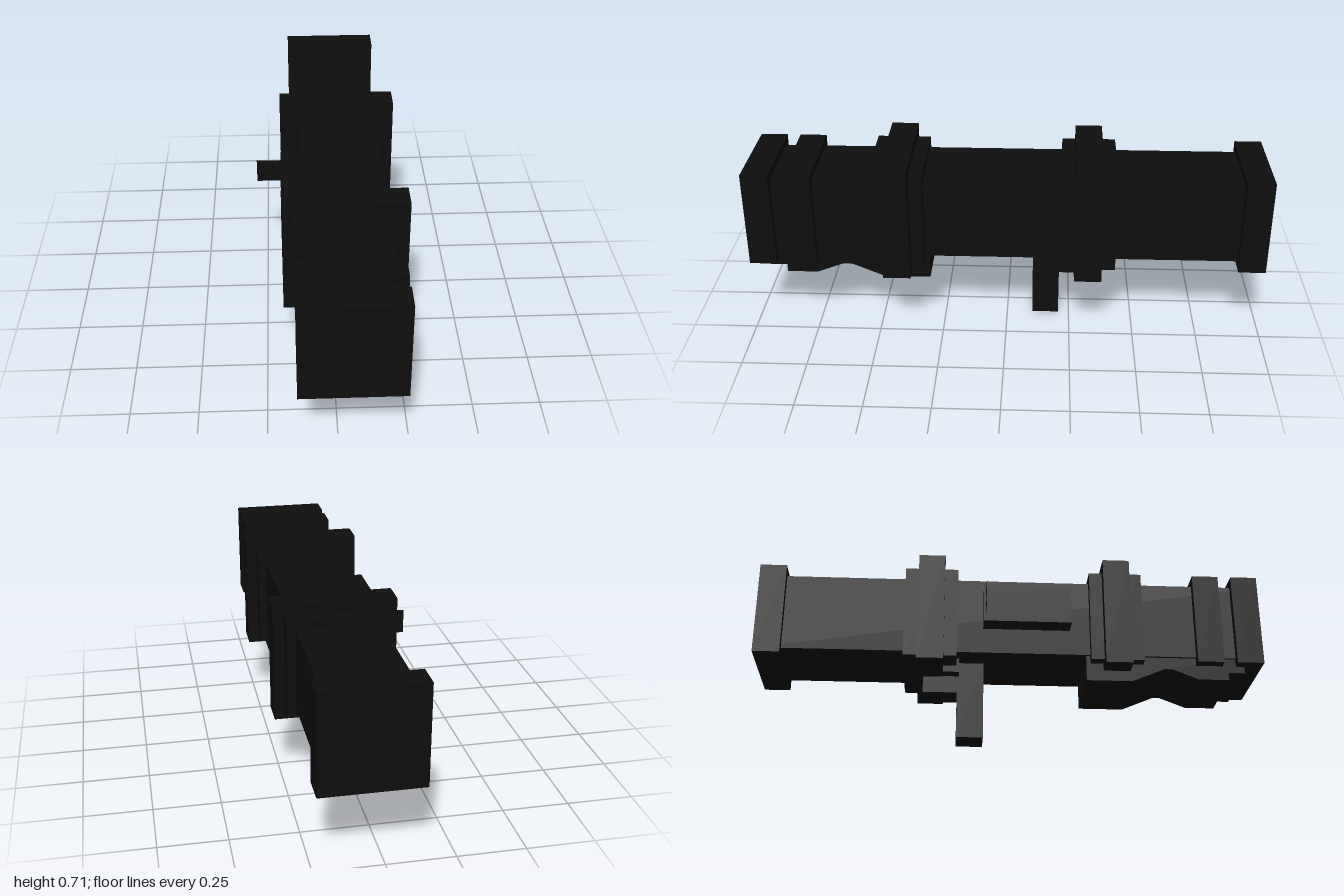
import * as THREE from 'three';

export function createModel() {
  const group = new THREE.Group();
  const black = new THREE.MeshStandardMaterial({ color: 0x0e0e0e, side: THREE.DoubleSide });
  black.name = 'matte black';

  // Box given by its limits on each axis
  function block(name, [x0, x1], [y0, y1], [z0, z1]) {
    const mesh = new THREE.Mesh(new THREE.BoxGeometry(x1 - x0, y1 - y0, z1 - z0), black);
    mesh.name = name;
    mesh.position.set((x0 + x1) / 2, (y0 + y1) / 2, (z0 + z1) / 2);
    group.add(mesh);
  }
  // Square section around the tube axis
  const cx = 0.046;
  function section(name, halfX, y, z) {
    block(name, [cx - halfX, cx + halfX], y, z);
  }

  // Main square tube and its raised bands
  section('tube', 0.157, [0.316, 0.634], [-0.99, 0.99]);
  const bandY = [0.285, 0.666];
  section('frontCap', 0.189, bandY, [0.895, 1]);
  section('rearCap', 0.189, bandY, [-1, -0.895]);
  section('frontBand', 0.189, bandY, [0.737, 0.842]);
  section('frontCollar', 0.189, bandY, [0.316, 0.526]);
  section('rearCollar', 0.189, bandY, [-0.421, -0.211]);
  section('frontRing', 0.23, [0.255, 0.706], [0.368, 0.474]);
  section('rearRing', 0.23, [0.255, 0.706], [-0.368, -0.263]);

  // Fore grip under the front, profile in (z, y) extruded across x
  const profile = [
    [0.93, 0.33], [0.93, 0.257], [0.865, 0.257], [0.865, 0.226], [0.745, 0.226],
    [0.64, 0.267], [0.61, 0.267], [0.48, 0.212], [0.3, 0.212], [0.3, 0.33],
  ];
  const shape = new THREE.Shape(profile.map(([z, y]) => new THREE.Vector2(-z, y)));
  const gripGeometry = new THREE.ExtrudeGeometry(shape, { depth: 0.293, bevelEnabled: false });
  gripGeometry.rotateY(Math.PI / 2);
  const grip = new THREE.Mesh(gripGeometry, black);
  grip.name = 'foreGrip';
  grip.position.x = -0.101;
  group.add(grip);

  // Handle and its mount under the rear ring
  block('handle', [-0.006, 0.099], [0, 0.33], [-0.207, -0.102]);
  block('handleMount', [-0.006, 0.099], [0.188, 0.3], [-0.342, -0.2]);
  block('mountStep', [-0.05, 0.14], [0.258, 0.32], [-0.368, -0.2]);

  // Sight housing on the right side with a thin upright plate
  block('sightHousing', [-0.185, -0.1], [0.42, 0.58], [-0.108, 0.237]);
  block('sightPlate', [-0.28, -0.18], [0.453, 0.547], [-0.101, -0.099]);

  return group;
}
